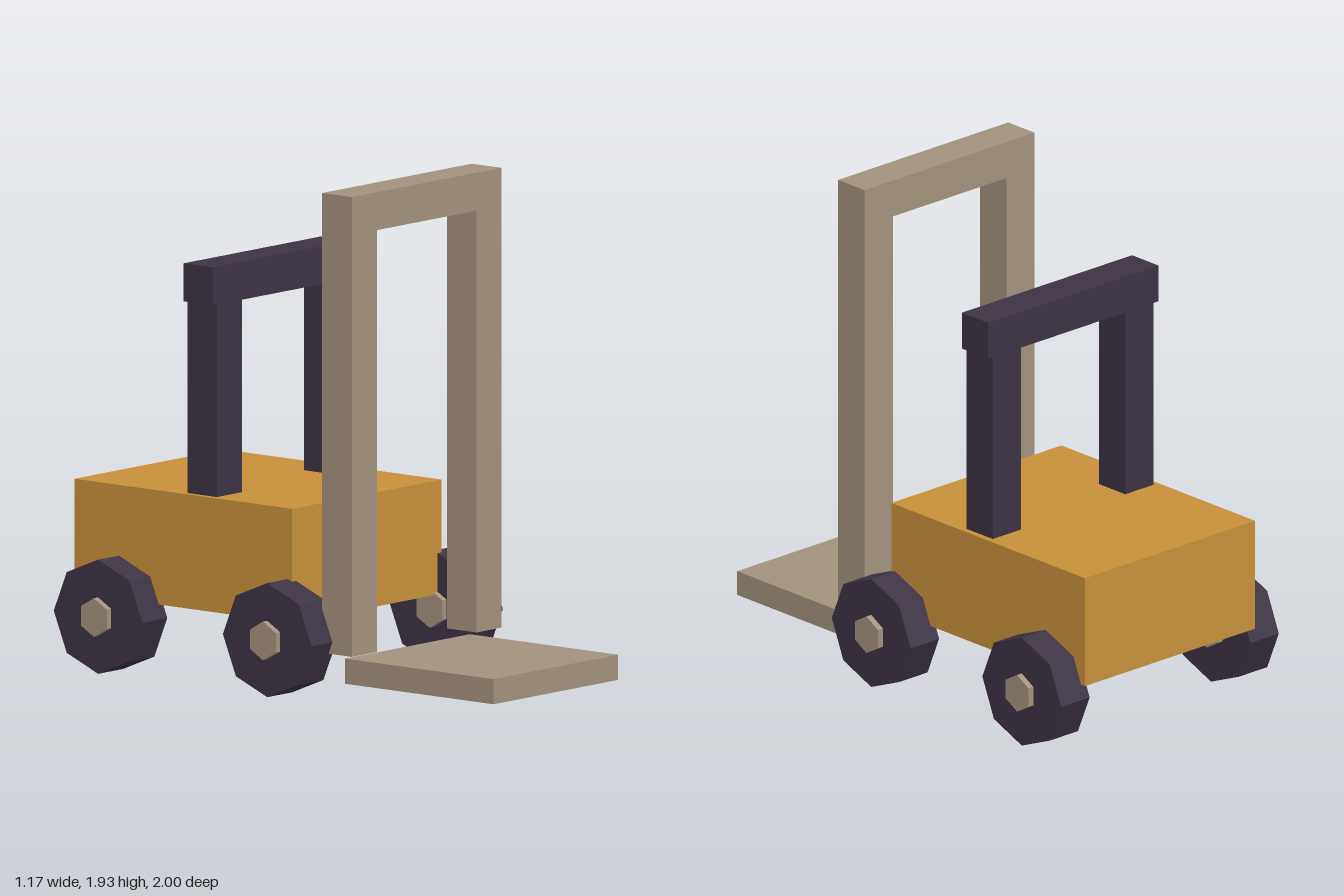
import * as THREE from 'three';

const paint = (color) => new THREE.MeshStandardMaterial({ color, flatShading: true });

export function createModel() {
  const model = new THREE.Group();
  model.name = 'forklift';
  const orange = paint(0xc8903a);
  const dark = paint(0x3d3344);
  const tan = paint(0xa3927e);

  const add = (name, geometry, material) => {
    const mesh = new THREE.Mesh(geometry, material);
    mesh.name = name;
    model.add(mesh);
    return mesh;
  };

  // Box given by its minimum and maximum on each axis
  const box = (name, material, [x0, x1], [y0, y1], [z0, z1]) =>
    add(name, new THREE.BoxGeometry(x1 - x0, y1 - y0, z1 - z0), material)
      .position.set((x0 + x1) / 2, (y0 + y1) / 2, (z0 + z1) / 2);

  // Polygonal disc lying along x, with a corner pointing up
  const disc = (name, material, radius, sides, [x0, x1], z) => {
    const geometry = new THREE.CylinderGeometry(radius, radius, x1 - x0, sides, 1, false, Math.PI / 2);
    geometry.rotateZ(Math.PI / 2);
    add(name, geometry, material).position.set((x0 + x1) / 2, 0.22, z);
  };

  box('body', orange, [-0.438, 0.438], [0.272, 0.708], [-1, 0.07]);
  box('forkPlate', tan, [-0.365, 0.365], [0.052, 0.148], [0.27, 1]);

  // Mast: one upside-down U
  const outline = [
    [-0.438, 0.174], [-0.292, 0.174], [-0.292, 1.785], [0.292, 1.785],
    [0.292, 0.174], [0.438, 0.174], [0.438, 1.93], [-0.438, 1.93],
  ];
  const mastShape = new THREE.Shape(outline.map(([x, y]) => new THREE.Vector2(x, y)));
  const mast = new THREE.ExtrudeGeometry(mastShape, { depth: 0.146, bevelEnabled: false });
  add('mast', mast, tan).position.z = 0.218;

  // Overhead guard
  const guardDepth = [-0.465, -0.32];
  box('guardBar', dark, [-0.438, 0.438], [1.443, 1.588], guardDepth);

  for (const [side, s] of [['left', 1], ['right', -1]]) {
    const span = (a, b) => (s > 0 ? [a, b] : [-b, -a]);
    box(side + 'GuardPost', dark, span(0.268, 0.414), [0.708, 1.443], guardDepth);

    // Wheels with hubs showing on both faces
    for (const [end, z] of [['Front', 0.05], ['Rear', -0.782]]) {
      disc(side + end + 'Wheel', dark, 0.218, 8, span(0.414, 0.56), z);
      disc(side + end + 'Hub', tan, 0.074, 6, span(0.39, 0.585), z);
    }
  }
  return model;
}
